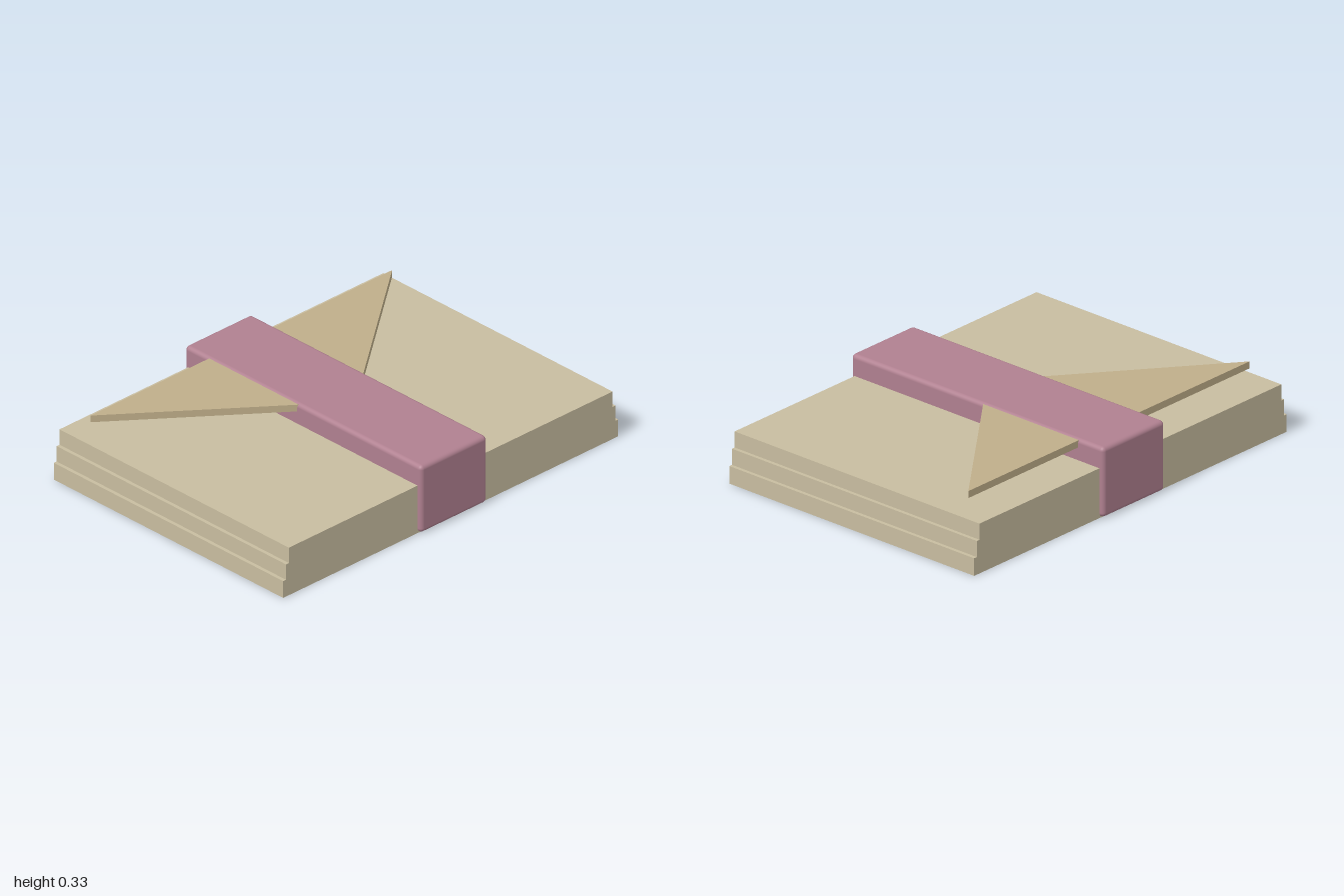
import * as THREE from 'three';
import { RoundedBoxGeometry } from 'three/addons/geometries/RoundedBoxGeometry.js';

export function createModel() {
  const group = new THREE.Group();
  const add = (name, geometry, color, y) => {
    const mesh = new THREE.Mesh(geometry, new THREE.MeshStandardMaterial({ color }));
    mesh.name = name;
    mesh.position.y = y;
    group.add(mesh);
  };

  // Stack of three sheets, each a little narrower than the one below
  const sheets = [[2, 0, 0.083], [1.966, 0.083, 0.159], [1.932, 0.159, 0.235]];
  sheets.forEach(([width, bottom, top], i) => {
    add(`sheet${i + 1}`, new THREE.BoxGeometry(width, top - bottom, 1.416), 0xc8bda0, (bottom + top) / 2);
  });

  // Rounded band running front to back over the stack
  add('band', new RoundedBoxGeometry(0.396, 0.33, 1.46, 3, 0.02), 0xb08090, 0.169);

  // Triangular flap held by the band, pointing to the front
  const outline = new THREE.Shape([
    new THREE.Vector2(-0.9, 0.584),
    new THREE.Vector2(0, -0.12),
    new THREE.Vector2(0.9, 0.584),
  ]);
  const flap = new THREE.ExtrudeGeometry(outline, { depth: 0.033, bevelEnabled: false });
  flap.rotateX(-Math.PI / 2);
  add('flap', flap, 0xbfae8a, 0.295);

  return group;
}
